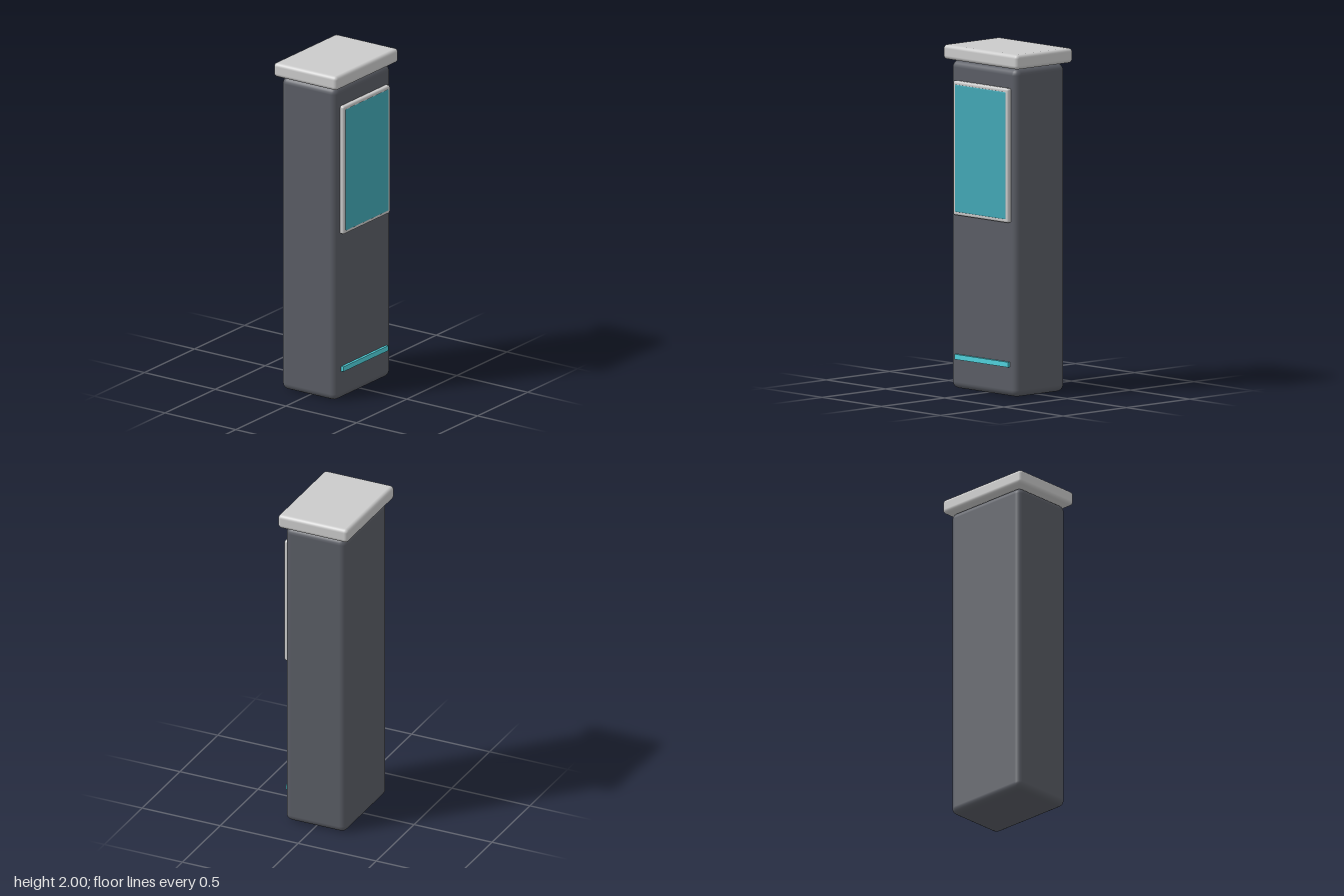
import * as THREE from 'three';
import { RoundedBoxGeometry } from 'three/addons/geometries/RoundedBoxGeometry.js';

const paint = (color) => new THREE.MeshStandardMaterial({ color });

// Rounded block given by its size, centre height and z centre
function block(name, [w, h, d], y, z, radius, material) {
  const geometry = radius > 0
    ? new RoundedBoxGeometry(w, h, d, 3, radius)
    : new THREE.BoxGeometry(w, h, d);
  const mesh = new THREE.Mesh(geometry, material);
  mesh.name = name;
  mesh.position.set(0, y, z);
  return mesh;
}

export function createModel() {
  const group = new THREE.Group();
  group.name = 'kiosk';

  const dark = paint(0x5a5d65);
  const grey = paint(0xcccccc);
  const teal = paint(0x42a8b6);
  const glow = paint(0x50d2dc);

  group.add(
    // Tall housing and its overhanging lid
    block('body', [0.56, 1.912, 0.39], 0.956, 0, 0.04, dark),
    block('cap', [0.628, 0.085, 0.448], 1.9575, 0, 0.022, grey),
    // Display on the front: bezel with the panel set in it
    block('screenFrame', [0.468, 0.782, 0.045], 1.406, 0.1975, 0.012, grey),
    block('screen', [0.434, 0.746, 0.03], 1.406, 0.207, 0.008, teal),
    // Light strip near the foot
    block('lightStrip', [0.448, 0.03, 0.03], 0.188, 0.196, 0, glow),
  );
  return group;
}
